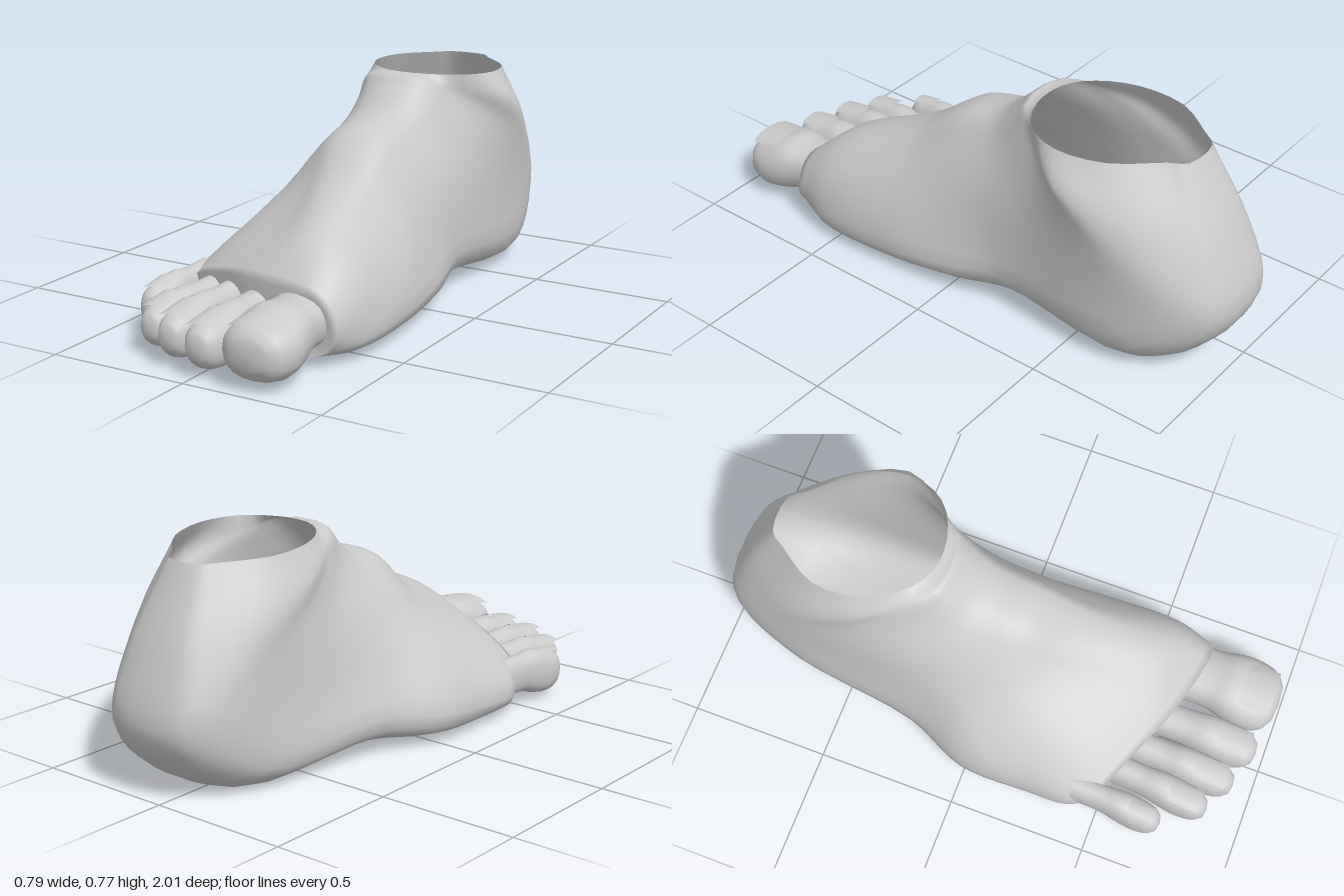
import * as THREE from 'three';

const skin = new THREE.MeshStandardMaterial({ color: 0xcccccc, side: THREE.DoubleSide, roughness: 0.8 });
const V = (x, y, z) => new THREE.Vector3(x, y, z);

// Skin a list of rings (front to back, each running clockwise seen from the front).
function loft(rings, ringSteps, lengthSteps, capFront) {
  const smooth = rings.map(r => {
    const c = new THREE.CatmullRomCurve3(r, true);
    return Array.from({ length: ringSteps }, (_, k) => c.getPoint(k / ringSteps));
  });
  const pos = [], idx = [];
  const rails = smooth[0].map((_, j) => new THREE.CatmullRomCurve3(smooth.map(r => r[j])));
  for (let i = 0; i <= lengthSteps; i++)
    for (const rail of rails) {
      const p = rail.getPoint(i / lengthSteps);
      pos.push(p.x, Math.max(0, p.y), p.z);
    }
  for (let i = 0; i < lengthSteps; i++)
    for (let j = 0; j < ringSteps; j++) {
      const k = (j + 1) % ringSteps, a = i * ringSteps, b = a + ringSteps;
      idx.push(a + j, a + k, b + j, a + k, b + k, b + j);
    }
  // Close the front end with a fan
  const mid = V(0, 0, 0);
  smooth[0].forEach(p => mid.addScaledVector(p, 1 / ringSteps));
  pos.push(mid.x, mid.y, mid.z + capFront);
  for (let j = 0; j < ringSteps; j++) idx.push(pos.length / 3 - 1, (j + 1) % ringSteps, j);

  const g = new THREE.BufferGeometry();
  g.setAttribute('position', new THREE.Float32BufferAttribute(pos, 3));
  g.setIndex(idx);
  g.computeVertexNormals();
  return g;
}

// Section planes swing from upright at the toes to level at the ankle.
// [top z, top y, bottom z, bottom y, outer x by level, inner x by level]
const LEVELS = [0, 0.12, 0.35, 0.65, 0.9];
const SECTIONS = [
  [0.70, 0.24, 0.69, 0.03, [0, -0.16, -0.30, -0.35, -0.30], [0.25, 0.31, 0.34, 0.35, 0.31]],
  [0.55, 0.36, 0.55, 0.01, [0.12, -0.02, -0.25, -0.37, -0.37], [0.22, 0.30, 0.36, 0.385, 0.375]],
  [0.25, 0.49, 0.25, 0.00, [0.05, -0.04, -0.23, -0.36, -0.38], [0.18, 0.24, 0.32, 0.38, 0.38]],
  [0.08, 0.60, -0.02, 0.01, [0, -0.09, -0.21, -0.35, -0.38], [0.16, 0.22, 0.29, 0.34, 0.355]],
  [-0.08, 0.65, -0.25, 0.035, [0, -0.10, -0.20, -0.27, -0.29], [0.16, 0.22, 0.29, 0.32, 0.31]],
  [-0.17, 0.72, -0.77, 0.015, [-0.02, -0.11, -0.20, -0.22, -0.21], [0.17, 0.25, 0.33, 0.345, 0.325]],
  [-0.21, 0.755, -1.00, 0.22, [-0.03, -0.12, -0.195, -0.205, -0.16], [0.18, 0.26, 0.365, 0.345, 0.27]],
  [-0.23, 0.76, -0.95, 0.46, [-0.03, -0.11, -0.195, -0.20, -0.12], [0.18, 0.27, 0.385, 0.335, 0.23]],
  [-0.25, 0.77, -0.81, 0.745, [0.03, -0.07, -0.14, -0.145, -0.06], [0.16, 0.28, 0.33, 0.285, 0.16]],
];

function footRing([zt, yt, zb, yb, outer, inner]) {
  // The forefoot slants back towards the little toe
  const skew = 0.9 * Math.max(0, zt - 0.22);
  const at = (x, t) => V(x, yt + (yb - yt) * t, zt + (zb - zt) * t + skew * Math.min(0, x - 0.15));
  const mid = (outer[4] + inner[4]) / 2;
  const side = xs => [...xs.map((x, i) => at(x, LEVELS[i])), at(mid + 0.6 * (xs[4] - mid), 1)];
  return [...side(inner), ...side(outer).reverse()];
}

// Toes, inner to outer: root and tip centre x, half width, root z, tip z, height, nail half width
const TOES = [
  { name: 'bigToe', x0: 0.225, x1: 0.225, w: 0.128, z0: 0.60, z1: 0.99, h: 0.245, nail: 0.085 },
  { name: 'secondToe', x0: 0.03, x1: 0.025, w: 0.074, z0: 0.56, z1: 0.97, h: 0.205, nail: 0.05 },
  { name: 'thirdToe', x0: -0.10, x1: -0.113, w: 0.065, z0: 0.52, z1: 0.93, h: 0.20, nail: 0.045 },
  { name: 'fourthToe', x0: -0.20, x1: -0.23, w: 0.060, z0: 0.48, z1: 0.87, h: 0.19, nail: 0.042 },
  { name: 'littleToe', x0: -0.32, x1: -0.337, w: 0.054, z0: 0.40, z1: 0.73, h: 0.195, nail: 0.028 },
];

// Toe rings from tip to root: [fraction back, width, bottom, top]
const TOE_RINGS = [
  [0.02, 0.50, 0.32, 0.70], [0.10, 0.84, 0.15, 0.84], [0.26, 1.0, 0.09, 0.90],
  [0.46, 0.95, 0.14, 1.0], [0.66, 0.82, 0.25, 0.97], [1.0, 0.88, 0.25, 1.0],
];

function makeToe({ name, x0, x1, w, z0, z1, h, nail }) {
  const toe = new THREE.Group();
  toe.name = name;
  const len = z1 - z0;
  const soften = v => Math.sign(v) * Math.abs(v) ** 0.85;
  const rings = TOE_RINGS.map(([u, s, lo, hi]) => Array.from({ length: 10 }, (_, k) => {
    const a = k / 10 * Math.PI * 2;
    return V(x1 + (x0 - x1) * u + soften(Math.sin(a)) * w * s,
      h * ((hi + lo) / 2 + soften(Math.cos(a)) * (hi - lo) / 2), z1 - u * len);
  }));
  const flesh = new THREE.Mesh(loft(rings, 20, 15, 0.006), skin);
  flesh.name = name + 'Flesh';

  // Slightly arched nail plate, sloping down to the tip
  const plate = new THREE.CylinderGeometry(nail * 1.15, nail * 1.3, len * 0.3, 4, 1, true, -0.9, 1.8);
  plate.rotateX(-Math.PI / 2).scale(1, 0.5, 1).translate(0, -nail * 0.6, 0);
  const nailMesh = new THREE.Mesh(plate, skin);
  nailMesh.name = name + 'Nail';
  nailMesh.position.set(x1, h * 0.93, z1 - len * 0.22);
  nailMesh.rotation.x = 0.2;
  toe.add(flesh, nailMesh);
  return toe;
}

export function createModel() {
  const model = new THREE.Group();
  model.name = 'foot';

  // Sole, instep, heel and open ankle in one skin
  const body = new THREE.Mesh(loft(SECTIONS.map(footRing), 36, 40, 0.01), skin);
  body.name = 'footBody';
  model.add(body);

  for (const t of TOES) model.add(makeToe(t));
  return model;
}
